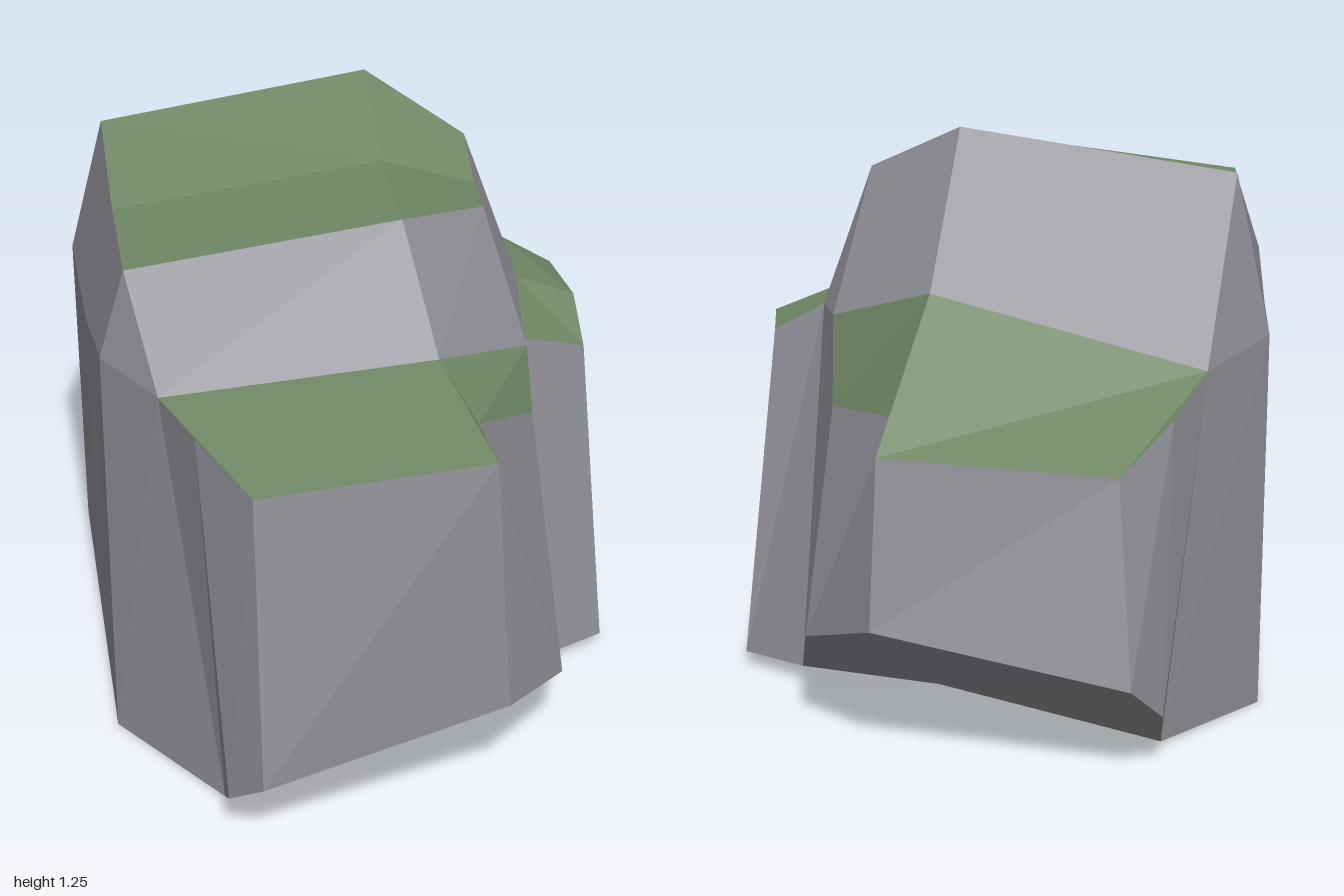
import * as THREE from 'three';

// Base points as [x, y, |z|], shared by the front and back halves
const BASE = {
  sideMid: [-0.58, 0, 0], side: [-0.58, 0, 0.455], foot: [-0.37, 0.01, 0.77],
  cheek: [-0.375, 0.11, 0.91], nose: [-0.31, 0.19, 1], hollow: [0.11, 0.1, 0.68],
  chin: [0.24, 0.275, 0.885], hip: [0.4, 0.2, 0.67], notch: [0.445, 0.035, 0.36],
  buttressMid: [0.585, 0.03, 0],
};

// Points above the base: the end ledge, the side buttress and the summit rim
const FRONT = {
  sign: 1, shoulder: [-0.58, 0.885, 0.32],
  innerL: [-0.47, 0.885, 0.51], innerC: [0.14, 0.925, 0.5], innerR: [0.37, 0.835, 0.31],
  rimA: [-0.41, 0.885, 0.69], rimB: [-0.31, 0.845, 0.88], rimC: [0.205, 0.88, 0.865],
  rimD: [0.19, 0.885, 0.71], rimE: [0.35, 0.77, 0.49],
  buttressIn: [0.385, 0.79, 0.2], buttressOut: [0.54, 0.72, 0.13], buttressFoot: [0.57, 0.03, 0.295],
  topL: [-0.52, 1.08, 0.29], topC: [0.09, 1.16, 0.29], topR: [0.3, 1.09, 0.12],
};
const BACK = {
  sign: -1, shoulder: [-0.595, 0.81, -0.35],
  innerL: [-0.46, 0.77, -0.55], innerC: [0.14, 0.925, -0.51], innerR: [0.37, 0.84, -0.33],
  rimA: [-0.39, 0.7, -0.72], rimB: [-0.28, 0.61, -0.87], rimC: [0.23, 0.635, -0.82],
  rimD: [0.2, 0.69, -0.68], rimE: [0.365, 0.65, -0.41],
  buttressIn: [0.405, 0.84, -0.2], buttressOut: [0.52, 0.775, -0.18], buttressFoot: [0.59, 0.03, -0.24],
  topL: [-0.52, 1.16, -0.29], topC: [0.09, 1.255, -0.28], topR: [0.3, 1.145, -0.14],
};

// Vertical sections from left to right: [bottom, belly, ledge rim, ledge back, summit]
function halfSections(h) {
  const b = {};
  for (const k in BASE) b[k] = [BASE[k][0], BASE[k][1], BASE[k][2] * h.sign];
  const leftMid = [-0.59, 0.81, 0];
  return [
    [b.sideMid, b.sideMid, leftMid, leftMid, [-0.52, 1.08, 0]],
    [b.side, b.side, h.shoulder, h.shoulder, h.topL],
    [b.foot, b.foot, h.innerL, h.innerL, h.topL],
    [b.foot, b.cheek, h.rimA, h.innerL, h.topL],
    [b.foot, b.nose, h.rimB, h.innerL, h.topL],
    [b.hollow, b.chin, h.rimC, h.innerC, h.topC],
    [b.hollow, b.hip, h.rimD, h.innerC, h.topC],
    [b.notch, b.hip, h.rimE, h.innerR, h.topR],
    [b.notch, b.notch, h.buttressIn, h.buttressIn, h.topR],
    [h.buttressFoot, h.buttressFoot, h.buttressOut, h.buttressIn, h.topR],
    [b.buttressMid, b.buttressMid, [0.54, 0.785, 0], [0.405, 0.84, 0], [0.3, 1.09, 0]],
  ];
}

// Adds one triangle unless it has collapsed to a line
function tri(out, a, b, c) {
  const [A, B, C] = [a, b, c].map((p) => new THREE.Vector3(...p));
  if (B.sub(A).cross(C.sub(A)).length() > 1e-6) out.push(...a, ...b, ...c);
}

function facetMesh(name, positions, material) {
  const geometry = new THREE.BufferGeometry();
  geometry.setAttribute('position', new THREE.Float32BufferAttribute(positions, 3));
  geometry.computeVertexNormals(); // unshared corners give flat facets
  const mesh = new THREE.Mesh(geometry, material);
  mesh.name = name;
  return mesh;
}

export function createModel() {
  const stone = new THREE.MeshStandardMaterial({ color: 0x8d8d94 });
  stone.name = 'stone grey';
  const moss = new THREE.MeshStandardMaterial({ color: 0x6f8865 });
  moss.name = 'moss green';

  // Closed loop of sections: along the front, then back along the rear
  const front = halfSections(FRONT).map((points, id) => ({ points, id }));
  const back = halfSections(BACK).map((points, id) => ({ points, id }));
  const loop = [...front, ...back.slice(1, 10).reverse()];

  const rock = [], ledges = [], summit = [];
  const topCentre = [0.09, 1.16, 0];
  const bottomCentre = [0.11, 0.04, 0];
  loop.forEach((left, i) => {
    const right = loop[(i + 1) % loop.length];
    const l = left.points, r = right.points;
    const segment = Math.min(left.id, right.id);
    const mossy = (segment >= 2 && segment <= 6) || segment === 9;
    for (let k = 0; k < 4; k++) {
      const out = k === 2 && mossy ? ledges : rock;
      tri(out, l[k], r[k], r[k + 1]);
      tri(out, l[k], r[k + 1], l[k + 1]);
    }
    tri(summit, topCentre, l[4], r[4]);
    tri(rock, bottomCentre, r[0], l[0]);
  });

  const group = new THREE.Group();
  group.name = 'mossyRock';
  group.add(
    facetMesh('rockBody', rock, stone),
    facetMesh('mossLedges', ledges, moss),
    facetMesh('mossSummit', summit, moss),
  );
  return group;
}
